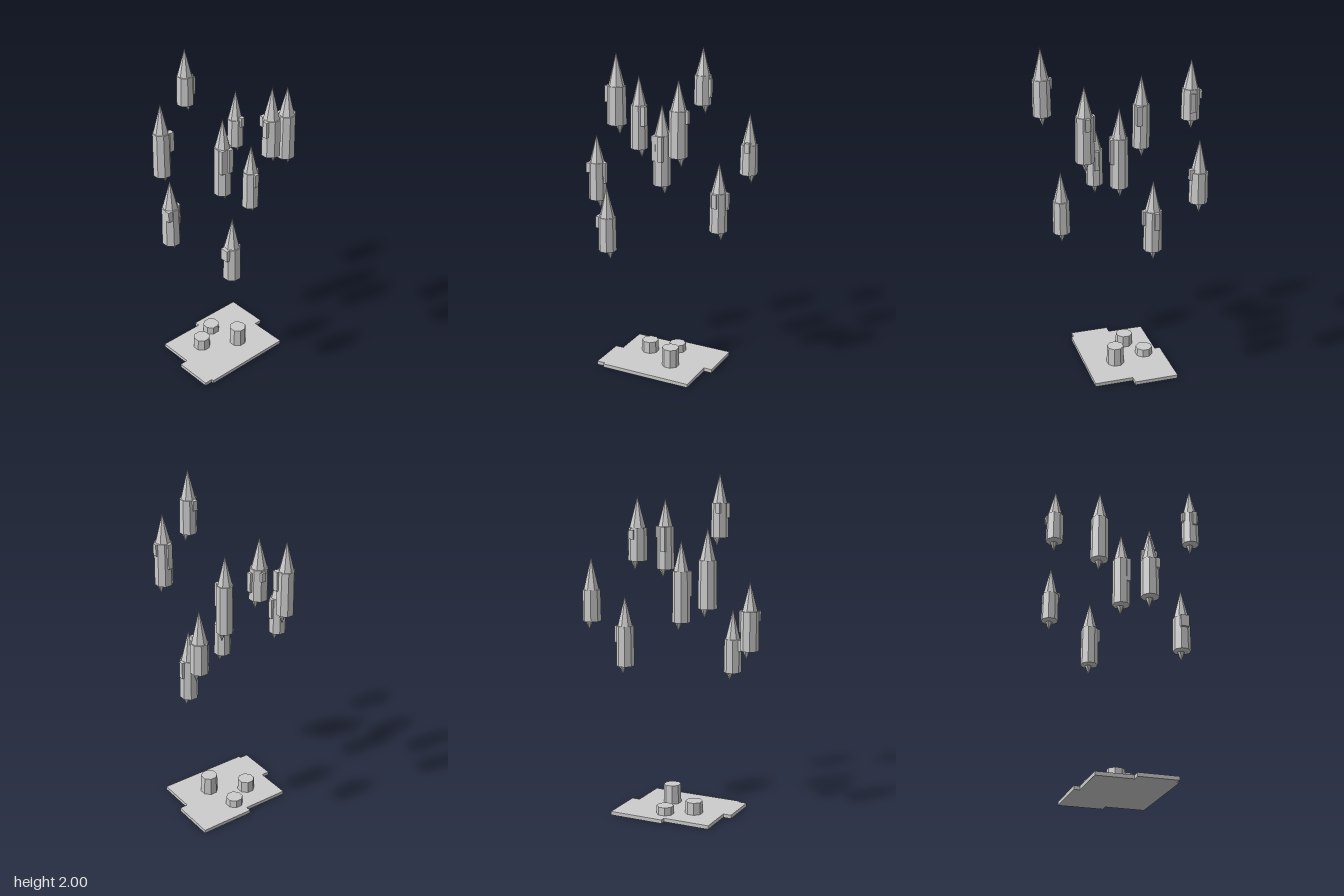
import * as THREE from 'three';

const stone = new THREE.MeshStandardMaterial({ color: 0xcccccc });
stone.name = 'paleGrey';

function add(parent, name, geometry, x, y, z) {
  // unshared vertices give crisp facets
  const geo = geometry.index ? geometry.toNonIndexed() : geometry;
  geo.computeVertexNormals();
  const mesh = new THREE.Mesh(geo, stone);
  mesh.name = name;
  mesh.position.set(x, y, z);
  parent.add(mesh);
  return mesh;
}

// Slightly tapered octagonal shaft with flat sides facing the axes
function shaft(parent, name, x, z, y0, y1) {
  const geo = new THREE.CylinderGeometry(0.051, 0.0535, y1 - y0, 8).rotateY(Math.PI / 8);
  add(parent, name, geo, x, (y0 + y1) / 2, z);
}

// x, z, shaft bottom, shaft top, spire tip, side turrets [x, z, bottom, top, depth]
const towers = [
  [-0.043, 0.423, 1.61, 1.82, 2.0, [[-0.055, 0.375, 1.76, 1.82], [-0.089, 0.434, 1.73, 1.82]]],
  [0.074, -0.415, 1.55, 1.73, 1.9, [[0.121, -0.408, 1.6, 1.71], [0.085, -0.46, 1.67, 1.72]]],
  [0.242, 0.255, 1.42, 1.68, 1.85, [[0.288, 0.25, 1.61, 1.68], [0.232, 0.208, 1.53, 1.68]]],
  [-0.261, -0.231, 1.28, 1.55, 1.73, [[-0.216, -0.206, 1.43, 1.55, 0.036]]],
  [0.006, -0.013, 1.15, 1.45, 1.63, [[-0.026, 0.02, 1.3, 1.45], [0.02, 0.033, 1.3, 1.45]]],
  [0.411, -0.347, 1.18, 1.36, 1.55, [[0.419, -0.301, 1.32, 1.38]]],
  [-0.411, 0.021, 1.01, 1.24, 1.41, [[-0.364, 0.02, 1.115, 1.24], [-0.448, 0.053, 1.18, 1.24]]],
  [0.325, -0.113, 0.88, 1.12, 1.3, [[0.371, -0.121, 1.02, 1.12], [0.321, -0.066, 1.035, 1.12]]],
  [-0.193, 0.289, 0.81, 1.015, 1.2, [[-0.241, 0.29, 0.945, 1.015, 0.05]]],
];

function makeTower([x, z, y0, y1, tip, turrets], i) {
  const tower = new THREE.Group();
  tower.name = `floatingTower${i + 1}`;
  shaft(tower, 'shaft', x, z, y0, y1);

  const spire = new THREE.ConeGeometry(0.045, tip - y1, 7).rotateY(Math.PI);
  add(tower, 'spire', spire, x, (y1 + tip) / 2, z);

  // Hanging point, set off centre below the shaft
  const point = new THREE.ConeGeometry(0.022, 0.06, 6).rotateX(Math.PI);
  add(tower, 'hangingPoint', point, x + 0.019, y0 - 0.03, z + 0.002);

  for (const [tx, tz, b, t, depth = 0.028] of turrets) {
    add(tower, 'sideTurret', new THREE.BoxGeometry(0.028, t - b, depth), tx, (b + t) / 2, tz);
  }
  return tower;
}

export function createModel() {
  const model = new THREE.Group();
  model.name = 'floatingSpires';

  // Stepped ground slab; outline given as x, z
  const outline = [
    [-0.278, -0.247], [0.007, -0.247], [0.007, -0.28], [0.342, -0.28],
    [0.342, -0.013], [0.292, -0.013], [0.292, 0.22], [-0.278, 0.22],
    [-0.278, 0.205], [-0.328, 0.205], [-0.328, -0.03], [-0.278, -0.03],
  ];
  const shape = new THREE.Shape(outline.map(([x, z]) => new THREE.Vector2(x, -z)));
  const slab = new THREE.ExtrudeGeometry(shape, { depth: 0.022, bevelEnabled: false });
  add(model, 'groundSlab', slab.rotateX(-Math.PI / 2), 0, 0, 0);

  // Low stumps standing on the slab
  for (const [x, z, top] of [[-0.11, -0.08, 0.095], [0.04, -0.163, 0.07], [0.09, 0.037, 0.137]]) {
    shaft(model, 'stump', x, z, 0.015, top);
  }

  towers.forEach((t, i) => model.add(makeTower(t, i)));
  return model;
}
